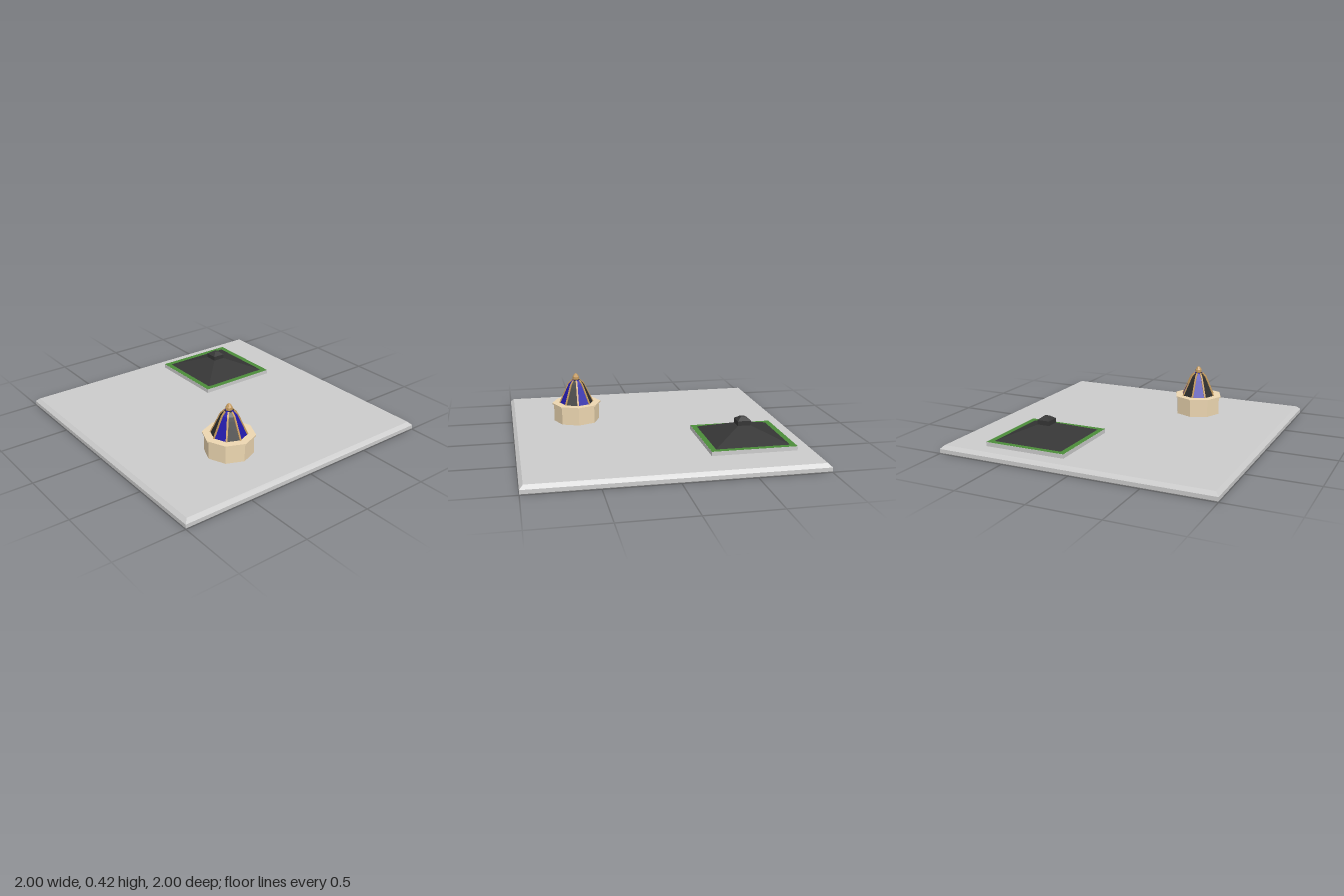
import * as THREE from 'three';

const paint = (color) => new THREE.MeshStandardMaterial({ color, flatShading: true, side: THREE.DoubleSide });
const grey = paint(0xcccccc), slate = paint(0x363636), black = paint(0x2c2c2c), blue = paint(0x2119ab);
const gold = paint(0xc49a5e), sand = paint(0xecd6b0), green = paint(0x4b8c39);

const GROUND = 0.057;

function add(parent, name, geometry, material, x = 0, y = 0, z = 0) {
  const mesh = new THREE.Mesh(geometry, material);
  mesh.name = name;
  mesh.position.set(x, y, z);
  parent.add(mesh);
  return mesh;
}

// Square section stack: profile of [half width, y], sides parallel to the axes
function squareStack(profile) {
  const points = profile.map(([h, y]) => new THREE.Vector2(h * Math.SQRT2, y));
  return new THREE.LatheGeometry(points, 4, Math.PI / 4).toNonIndexed();
}

// Octagonal prism with corners on the axes
const octagon = (r, h) => new THREE.CylinderGeometry(r, r, h, 8);

function createBase() {
  const base = new THREE.Group();
  base.name = 'base';
  add(base, 'slab', squareStack([[0, 0], [0.995, 0], [1, 0.006], [1, 0.033], [0.975, GROUND], [0, GROUND]]), grey);
  // Small flush chips along the bevelled rim, repeated on all four sides
  for (let side = 0; side < 4; side++) {
    const edge = new THREE.Group();
    edge.name = 'rimChips';
    edge.rotation.y = side * Math.PI / 2;
    for (let i = 0; i < 7; i++) {
      add(edge, 'chip', new THREE.ConeGeometry(0.01, 0.012, 4), grey, -0.775 + i * 0.25, GROUND - 0.006, 0.975);
    }
    base.add(edge);
  }
  return base;
}

function createTower() {
  const tower = new THREE.Group();
  tower.name = 'domedTower';
  add(tower, 'walls', octagon(0.17, 0.13), sand, 0, GROUND + 0.065, 0);
  add(tower, 'cornice', octagon(0.183, 0.01), sand, 0, 0.19, 0);

  // Eight dome panels in alternating colours, with a rib on every corner
  const profile = [[0.125, 0.195], [0.07, 0.315], [0.058, 0.34], [0.033, 0.366], [0, 0.372]];
  const points = profile.map(([r, y]) => new THREE.Vector2(r, y));
  for (let i = 0; i < 8; i++) {
    const angle = i * Math.PI / 4;
    const panel = new THREE.LatheGeometry(points, 1, angle, Math.PI / 4);
    add(tower, 'domePanel', panel, i % 2 ? black : blue);

    const rib = new THREE.Group();
    rib.name = 'domeRib';
    rib.rotation.y = angle;
    for (let k = 0; k < 3; k++) {
      const a = points[k], b = points[k + 1];
      const bar = add(rib, 'ribBar', new THREE.BoxGeometry(0.012, a.distanceTo(b) + 0.003, 0.008), gold,
        0, (a.y + b.y) / 2, (a.x + b.x) / 2);
      bar.rotation.x = Math.atan2(b.x - a.x, b.y - a.y);
    }
    tower.add(rib);
  }

  // Pointed finial
  const tip = [[0.012, 0.362], [0.025, 0.374], [0.024, 0.392], [0.012, 0.412], [0, 0.419]];
  add(tower, 'finial', new THREE.LatheGeometry(tip.map(([r, y]) => new THREE.Vector2(r, y)), 8), gold);
  tower.position.set(-0.305, 0, 0.517);
  return tower;
}

function createPavilion() {
  const pavilion = new THREE.Group();
  pavilion.name = 'pyramidRoofBuilding';
  add(pavilion, 'plinth', new THREE.BoxGeometry(0.6, 0.03, 0.6), grey, 0, GROUND + 0.014, 0);
  const lawn = add(pavilion, 'lawn', new THREE.PlaneGeometry(0.6, 0.6), green, 0, 0.0868, 0);
  lawn.rotation.x = -Math.PI / 2;
  // Shallow hipped roof with a small capped lantern
  add(pavilion, 'roof', squareStack([[0.26, 0.087], [0.045, 0.172]]), slate);
  add(pavilion, 'lantern', squareStack([[0.045, 0.165], [0.047, 0.205], [0.015, 0.228], [0, 0.23]]), slate);
  pavilion.position.set(0.405, 0, -0.573);
  return pavilion;
}

export function createModel() {
  const model = new THREE.Group();
  model.name = 'courtyard';
  model.add(createBase(), createTower(), createPavilion());
  return model;
}
